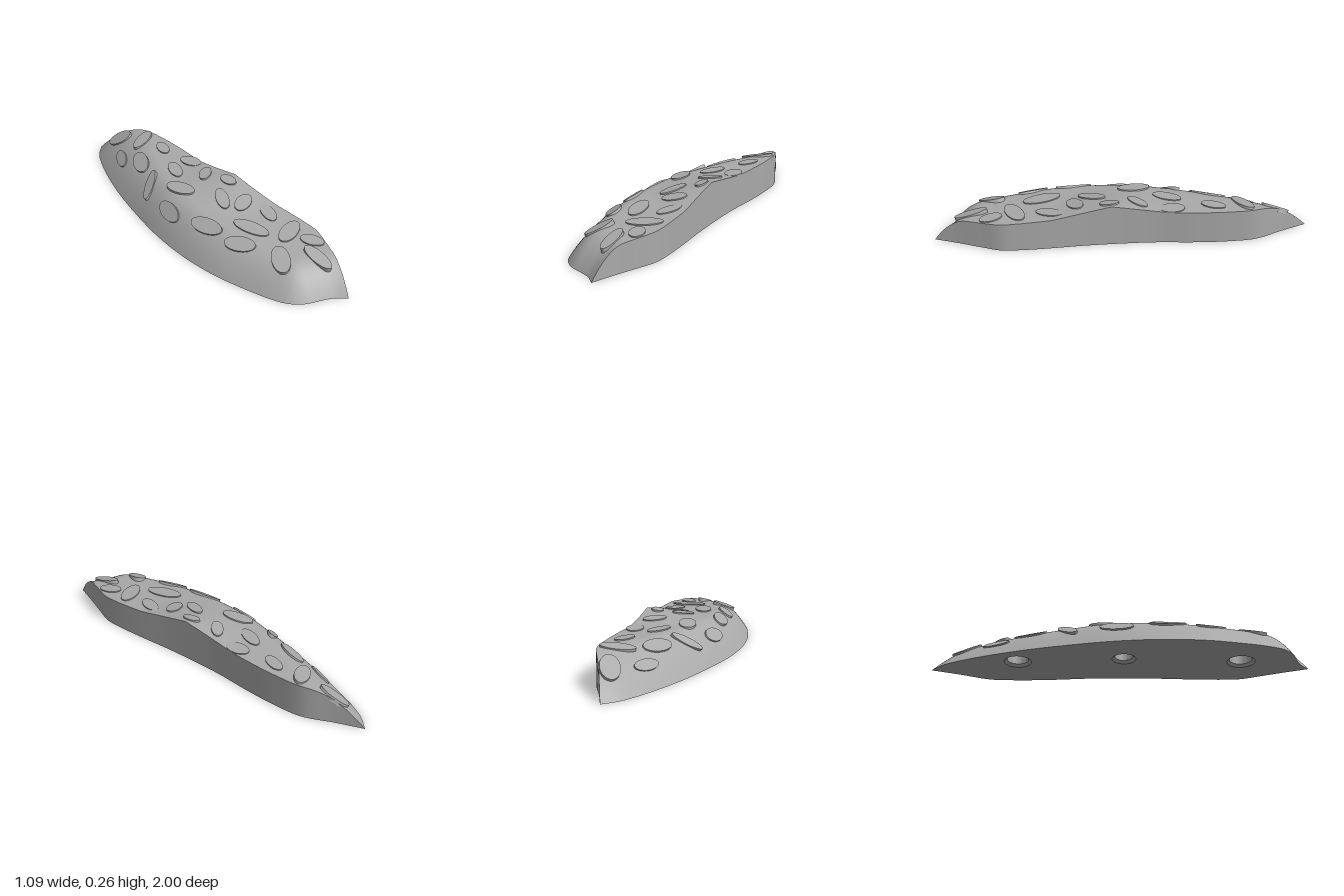
import * as THREE from 'three';
import { toCreasedNormals } from 'three/addons/utils/BufferGeometryUtils.js';

const NU = 120, NV = 40;
const smooth = pairs => new THREE.CatmullRomCurve3(
  pairs.map(([x, z]) => new THREE.Vector3(x, 0, z)), false, 'centripetal');

// Plan outline as [x, z]: the domed edge and the sheer-walled edge, both from back tip to front corner
const domeEdge = smooth([[-0.51, -1], [-0.54, -0.9], [-0.545, -0.8], [-0.53, -0.6], [-0.49, -0.35],
  [-0.43, -0.1], [-0.355, 0.15], [-0.25, 0.4], [-0.12, 0.62], [0, 0.77], [0.12, 0.9], [0.21, 0.97],
  [0.3, 0.993], [0.38, 0.985], [0.46, 0.98], [0.54, 1]]).getSpacedPoints(NU);
const wallEdge = smooth([[-0.51, -1], [-0.38, -0.89], [-0.23, -0.77], [-0.14, -0.63], [-0.05, -0.45],
  [0.05, -0.22], [0.165, 0], [0.25, 0.15], [0.36, 0.33], [0.45, 0.49], [0.49, 0.58], [0.505, 0.7],
  [0.52, 0.85], [0.54, 1]]).getSpacedPoints(NU);

// Piecewise-linear lookup in [position, value] pairs
function lookup(table, t) {
  for (let i = 1; i < table.length; i++) {
    const [a, va] = table[i - 1], [b, vb] = table[i];
    if (t <= b) return va + (vb - va) * Math.max(0, (t - a) / (b - a));
  }
  return table[table.length - 1][1];
}
const crownHeight = [[-1, 0.205], [0, 0.207], [0.2, 0.2], [0.4, 0.188], [0.8, 0.165], [1, 0.16]];
const rollWidth = [[-1, 0.36], [-0.5, 0.28], [0, 0.22], [1, 0.2]];

// Height rises with distance from the domed edge, with a small peak on the wall rim
function heightAt(x, z) {
  const p = new THREE.Vector3(x, 0, z), q = new THREE.Vector3(), line = new THREE.Line3();
  let d = Infinity;
  for (let i = 0; i < NU; i++) {
    line.set(domeEdge[i], domeEdge[i + 1]).closestPointToPoint(p, true, q);
    d = Math.min(d, q.distanceTo(p));
  }
  const t = Math.min(1, d / lookup(rollWidth, z));
  const peak = 0.053 * Math.max(0, 1 - Math.hypot(x - 0.17, z) / 0.36) ** 1.2;
  return (lookup(crownHeight, z) + peak) * (1 - (1 - t) ** 2);
}

// Surface from a grid of points fn(i, j)
function gridGeometry(nu, nv, fn) {
  const pos = [], idx = [];
  for (let i = 0; i <= nu; i++) for (let j = 0; j <= nv; j++) {
    pos.push(...fn(i, j));
    if (i < nu && j < nv) {
      const a = i * (nv + 1) + j, b = a + nv + 1;
      idx.push(a, b, a + 1, b, b + 1, a + 1);
    }
  }
  const g = new THREE.BufferGeometry();
  g.setAttribute('position', new THREE.Float32BufferAttribute(pos, 3));
  g.setIndex(idx);
  g.computeVertexNormals();
  return g;
}

// Raised oval pads: x, z, half length, half width, heading in degrees
const pads = [
  [-0.40, -0.83, 0.095, 0.06, 47], [-0.43, -0.595, 0.09, 0.037, 88], [-0.28, -0.66, 0.1, 0.045, -53],
  [-0.175, -0.51, 0.075, 0.037, 85], [-0.335, -0.415, 0.11, 0.05, 87], [-0.04, -0.3, 0.075, 0.05, 57],
  [-0.325, -0.165, 0.105, 0.035, -63], [-0.155, -0.22, 0.09, 0.04, 87], [0.005, -0.095, 0.075, 0.037, -69],
  [-0.17, 0.005, 0.1, 0.05, 52], [0.115, 0.04, 0.057, 0.035, 60], [-0.265, 0.13, 0.1, 0.047, 73],
  [0.04, 0.19, 0.09, 0.038, 90], [0.15, 0.25, 0.075, 0.045, -51], [-0.1, 0.38, 0.11, 0.048, 53],
  [0.27, 0.36, 0.085, 0.04, 84], [0.135, 0.48, 0.115, 0.05, 49], [0.335, 0.56, 0.105, 0.05, -51],
  [0.04, 0.59, 0.095, 0.047, 39], [0.435, 0.665, 0.07, 0.045, 40], [0.22, 0.78, 0.09, 0.052, 92],
  [0.42, 0.81, 0.1, 0.04, 61],
];

// Bolt sockets in the base: x, z, mouth radius
const sockets = [[0.25, 0.685, 0.083], [-0.11, 0.095, 0.07], [-0.37, -0.476, 0.08]];

export function createModel() {
  const group = new THREE.Group();
  const grey = new THREE.MeshStandardMaterial({ color: 0xaaaaaa });
  grey.name = 'stone grey';
  const add = (name, geometry, parent = group) => {
    const mesh = new THREE.Mesh(geometry, grey);
    mesh.name = name;
    parent.add(mesh);
    return mesh;
  };

  // Domed top
  add('domedTop', gridGeometry(NU, NV, (i, j) => {
    const p = domeEdge[i].clone().lerp(wallEdge[i], (j / NV) ** 1.3);
    return [p.x, j ? heightAt(p.x, p.z) : 0, p.z];
  }));

  // Sheer side wall
  add('sideWall', gridGeometry(NU, 1, (i, j) => {
    const p = wallEdge[i];
    return [p.x, j ? 0 : heightAt(p.x, p.z), p.z];
  }));

  // Flat base with socket openings
  const outline = [...domeEdge, ...wallEdge.slice(1, -1).reverse()];
  const shape = new THREE.Shape(outline.map(p => new THREE.Vector2(p.x, p.z)));
  for (const [x, z, r] of sockets) {
    shape.holes.push(new THREE.Path().absarc(x, z, r, 0, Math.PI * 2, true));
  }
  add('base', new THREE.ShapeGeometry(shape, 24).rotateX(Math.PI / 2));

  // Chamfered blind sockets
  for (const [x, z, r] of sockets) {
    const profile = [[0, 0.08], [r - 0.017, 0.08], [r - 0.017, 0.015], [r, 0]]
      .map(([a, b]) => new THREE.Vector2(a, b));
    add('boltSocket', toCreasedNormals(new THREE.LatheGeometry(profile, 48), 0.5)).position.set(x, 0, z);
  }

  // Oval pads laid on the surface
  const padGroup = new THREE.Group();
  padGroup.name = 'gripPads';
  group.add(padGroup);
  const e = 0.02;
  for (const [x, z, a, b, deg] of pads) {
    const y = heightAt(x, z);
    const normal = new THREE.Vector3(
      heightAt(x - e, z) - heightAt(x + e, z), 2 * e, heightAt(x, z - e) - heightAt(x, z + e)).normalize();
    const turn = THREE.MathUtils.degToRad(deg);
    // Long axis follows the slope above its heading
    const along = new THREE.Vector3(Math.cos(turn), 0, Math.sin(turn));
    along.y = -(along.x * normal.x + along.z * normal.z) / normal.y;
    along.normalize();
    const across = along.clone().cross(normal);
    const pad = add('gripPad', new THREE.CylinderGeometry(1, 1, 0.03, 40).scale(a, 1, b), padGroup);
    pad.quaternion.setFromRotationMatrix(new THREE.Matrix4().makeBasis(along, normal, across));
    pad.position.set(x, y, z).addScaledVector(normal, -0.008);
  }
  return group;
}
